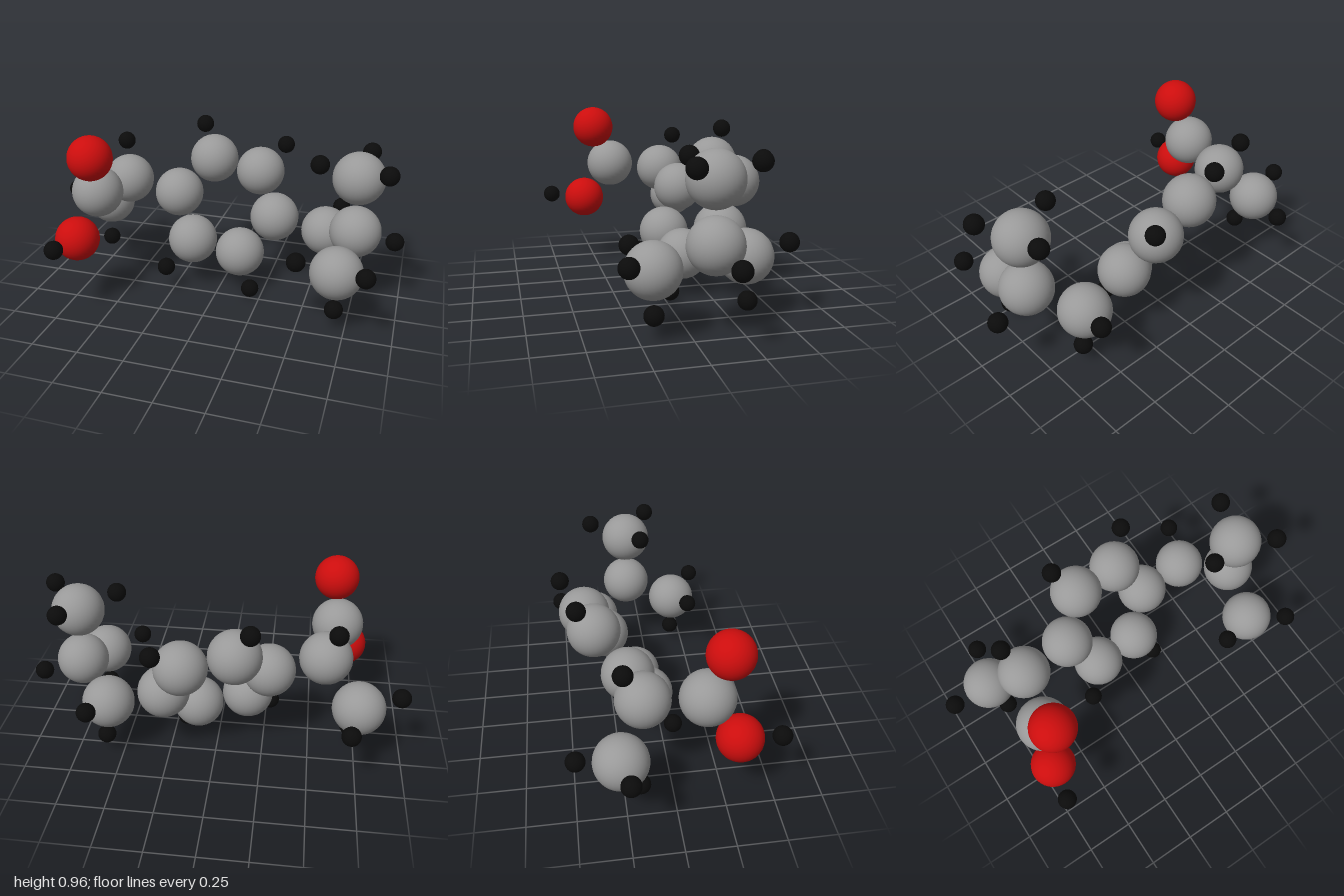
import * as THREE from 'three';

// Atom kinds: radius and colour
const KINDS = {
  carbon: { radius: 0.137, color: 0x999999 },
  oxygen: { radius: 0.118, color: 0xcc0d0d },
  hydrogen: { radius: 0.049, color: 0x0b0b0b },
};

// Parts of the molecule: atom centres [x, y, z] by kind
const PARTS = {
  ring: {
    carbon: [
      [-0.273, 0.52, -0.187], [-0.108, 0.689, -0.34], [0.157, 0.626, -0.377],
      [0.269, 0.398, -0.27], [0.109, 0.228, -0.112], [-0.158, 0.29, -0.075],
    ],
    hydrogen: [
      [-0.188, 0.864, -0.422], [0.278, 0.758, -0.495],
      [0.192, 0.049, -0.025], [-0.278, 0.154, 0.049],
    ],
  },
  sideCarbon: {
    carbon: [[-0.558, 0.588, -0.144]],
    hydrogen: [[-0.606, 0.781, -0.238]],
  },
  sideMethyl: {
    carbon: [[-0.74, 0.379, -0.27]],
    hydrogen: [[-0.951, 0.438, -0.243], [-0.698, 0.364, -0.483], [-0.711, 0.18, -0.175]],
  },
  acidGroup: {
    carbon: [[-0.618, 0.618, 0.155]],
    oxygen: [[-0.598, 0.844, 0.258], [-0.68, 0.399, 0.31]],
    hydrogen: [[-0.715, 0.42, 0.508]],
  },
  chainLink: {
    carbon: [[0.56, 0.333, -0.307]],
    hydrogen: [[0.62, 0.406, -0.505], [0.585, 0.114, -0.313]],
  },
  chainFork: {
    carbon: [[0.743, 0.45, -0.095]],
    hydrogen: [[0.951, 0.391, -0.148]],
  },
  upperMethyl: {
    carbon: [[0.74, 0.753, -0.091]],
    hydrogen: [[0.78, 0.832, -0.293], [0.895, 0.832, 0.043], [0.545, 0.831, -0.023]],
  },
  frontMethyl: {
    carbon: [[0.689, 0.338, 0.182]],
    hydrogen: [[0.689, 0.119, 0.178], [0.845, 0.406, 0.323], [0.492, 0.406, 0.254]],
  },
};

export function createModel() {
  const model = new THREE.Group();
  model.name = 'molecule';

  // One shared sphere and material per kind of atom
  const shared = {};
  for (const [kind, { radius, color }] of Object.entries(KINDS)) {
    shared[kind] = {
      geometry: new THREE.SphereGeometry(radius, 32, 24),
      material: new THREE.MeshStandardMaterial({ color }),
    };
  }

  for (const [partName, atoms] of Object.entries(PARTS)) {
    const part = new THREE.Group();
    part.name = partName;
    for (const [kind, centres] of Object.entries(atoms)) {
      for (const centre of centres) {
        const atom = new THREE.Mesh(shared[kind].geometry, shared[kind].material);
        atom.name = kind + 'Atom';
        atom.position.set(...centre);
        part.add(atom);
      }
    }
    model.add(part);
  }
  return model;
}
